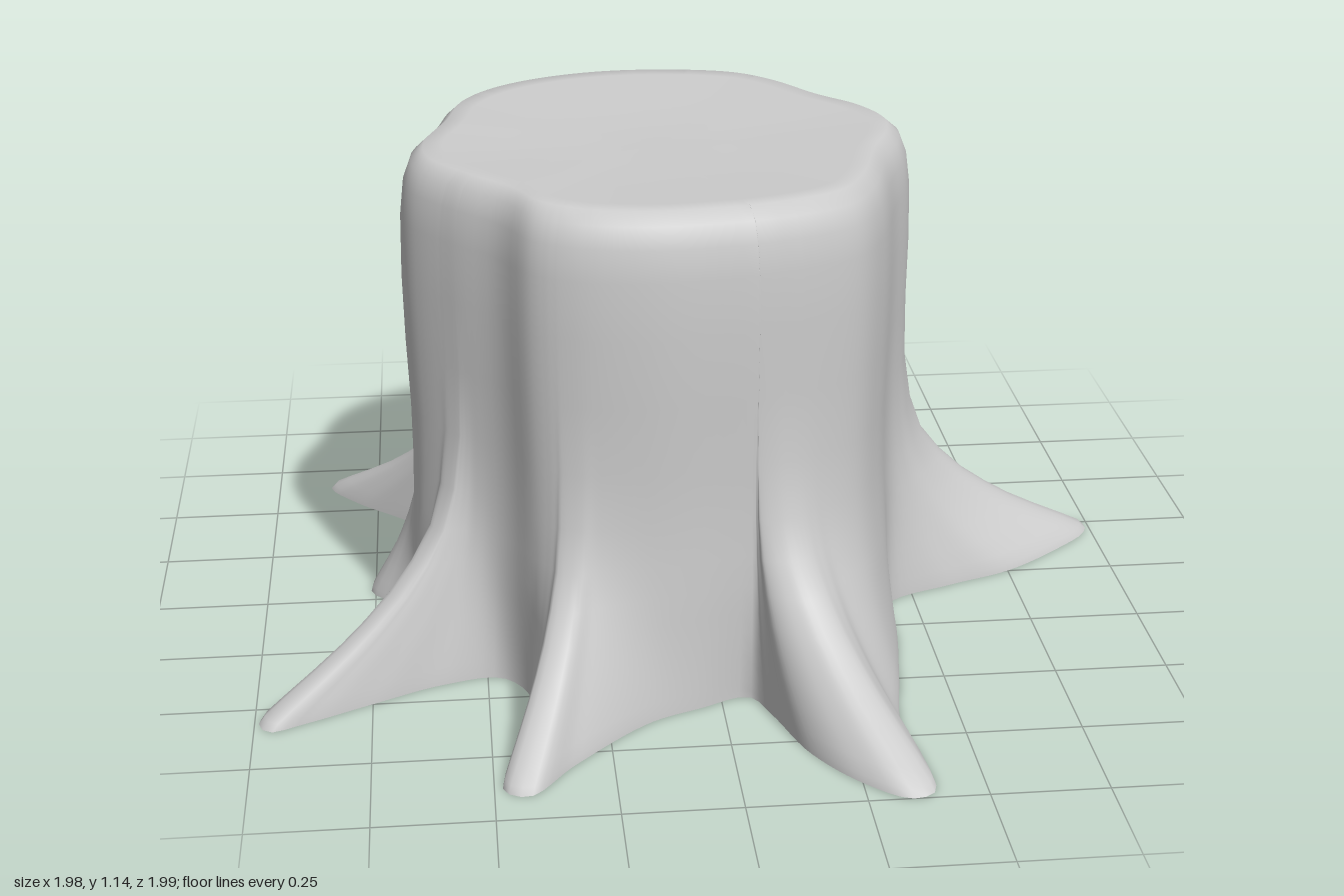
import * as THREE from 'three';

const CX = -0.09, CZ = 0.04; // trunk axis
const material = new THREE.MeshStandardMaterial({ color: 0xcccccc, roughness: 0.9 });

// Outline of the roots on the ground (x, z), counter-clockwise from above
const GROUND = [
  [0.99, -0.24], [0.85, -0.26], [0.62, -0.26], [0.45, -0.3], [0.33, -0.42],
  [0.29, -0.55], [0.35, -0.7], [0.41, -0.81], [0.37, -0.845], [0.25, -0.78], [0.1, -0.7], [0.04, -0.6], [-0.03, -0.57],
  [-0.1, -0.61], [-0.15, -0.77], [-0.19, -0.93], [-0.24, -1.0], [-0.27, -0.87], [-0.29, -0.73], [-0.35, -0.6], [-0.47, -0.565],
  [-0.6, -0.6], [-0.75, -0.645], [-0.85, -0.675], [-0.87, -0.64], [-0.8, -0.54], [-0.66, -0.4], [-0.6, -0.24],
  [-0.66, -0.17], [-0.74, -0.11], [-0.76, -0.04], [-0.71, 0.02], [-0.65, 0.09], [-0.65, 0.18],
  [-0.71, 0.27], [-0.85, 0.42], [-0.99, 0.55], [-0.97, 0.6], [-0.89, 0.57], [-0.75, 0.5], [-0.6, 0.43], [-0.47, 0.41],
  [-0.41, 0.5], [-0.42, 0.6], [-0.45, 0.75], [-0.48, 0.89], [-0.43, 0.915], [-0.33, 0.8], [-0.16, 0.64], [-0.05, 0.59], [0.06, 0.55],
  [0.1, 0.63], [0.16, 0.8], [0.25, 0.93], [0.34, 1.0], [0.39, 0.98], [0.39, 0.85], [0.37, 0.7], [0.4, 0.5], [0.43, 0.3], [0.44, 0.14],
  [0.6, 0.06], [0.75, 0.0], [0.9, -0.11], [0.98, -0.19],
];

// Outline of the trunk (x, z), same direction
const TRUNK = [
  [0.49, -0.1], [0.44, -0.21], [0.35, -0.3], [0.25, -0.43], [0.15, -0.5], [-0.1, -0.52], [-0.3, -0.47],
  [-0.46, -0.37], [-0.55, -0.25], [-0.59, -0.1], [-0.65, 0.09], [-0.64, 0.2], [-0.55, 0.32], [-0.45, 0.42],
  [-0.39, 0.52], [-0.3, 0.57], [-0.15, 0.59], [0, 0.57], [0.15, 0.53], [0.3, 0.45], [0.37, 0.33], [0.43, 0.13], [0.48, 0],
];

// Sections from the ground up: height, share of root spread, scale of trunk outline
const ROWS = [
  [0, 1, 1], [0.015, 0.97, 1], [0.04, 0.88, 1], [0.08, 0.73, 1], [0.12, 0.59, 1], [0.16, 0.47, 1], [0.21, 0.34, 1],
  [0.27, 0.22, 1], [0.34, 0.12, 0.995], [0.43, 0.06, 0.99], [0.55, 0.02, 0.99], [0.7, 0, 1], [0.85, 0, 1.005], [0.98, 0, 1],
  [1.05, 0, 0.985], [1.095, 0, 0.955], [1.12, 0, 0.905], [1.12, 0, 0.83], [1.112, 0, 0.6], [1.107, 0, 0.3], [1.105, 0, 0],
];

function polarOutline(points, count) {
  const curve = new THREE.CatmullRomCurve3(points.map(([x, z]) => new THREE.Vector3(x, 0, z)), true, 'centripetal');
  return curve.getSpacedPoints(count).slice(0, count).map((p) => ({
    angle: Math.atan2(CZ - p.z, p.x - CX),
    radius: Math.hypot(p.x - CX, p.z - CZ),
  }));
}

// Radius of a star-shaped outline in a given direction
function radiusAt(outline, angle) {
  const turn = (a) => Math.atan2(Math.sin(a), Math.cos(a));
  for (let i = 0; i < outline.length; i++) {
    const a = outline[i], b = outline[(i + 1) % outline.length];
    const span = turn(b.angle - a.angle), t = turn(angle - a.angle) / span;
    if (span > 0 && t >= 0 && t <= 1) return a.radius + (b.radius - a.radius) * t;
  }
  return outline[0].radius;
}

export function createModel() {
  const group = new THREE.Group();
  group.name = 'treeStump';

  const n = 320;
  const ground = polarOutline(GROUND, n);
  const trunk = polarOutline(TRUNK, 160);
  const trunkRadius = ground.map((g) => radiusAt(trunk, g.angle));

  // Trunk, flaring roots and cut top as one lofted skin
  const positions = [], indices = [];
  ROWS.forEach(([y, spread, scale], row) => {
    const tilt = THREE.MathUtils.smoothstep(y, 0.8, 1.1);
    ground.forEach((g, j) => {
      const base = trunkRadius[j] * scale;
      const r = base + (g.radius - trunkRadius[j]) * spread;
      const dx = r * Math.cos(g.angle), dz = -r * Math.sin(g.angle);
      positions.push(CX + dx, y + tilt * (-0.026 * dx - 0.018 * dz), CZ + dz);
      if (row === ROWS.length - 1) return;
      const k = (j + 1) % n;
      const a = row * n + j, b = row * n + k, c = a + n, d = b + n;
      indices.push(a, b, c);
      if (row < ROWS.length - 2) indices.push(b, d, c);
    });
  });
  const skin = new THREE.BufferGeometry();
  skin.setAttribute('position', new THREE.Float32BufferAttribute(positions, 3));
  skin.setIndex(indices);
  skin.computeVertexNormals();
  // The cut face closes in a point facing up
  for (let j = 0; j < n; j++) skin.attributes.normal.setXYZ((ROWS.length - 1) * n + j, 0, 1, 0);
  const stump = new THREE.Mesh(skin, material);
  stump.name = 'trunkAndRoots';
  group.add(stump);

  // Flat underside
  const outline = ground.map((g) => new THREE.Vector2(CX + g.radius * Math.cos(g.angle), CZ - g.radius * Math.sin(g.angle)));
  const underside = new THREE.Mesh(new THREE.ShapeGeometry(new THREE.Shape(outline)).rotateX(Math.PI / 2), material);
  underside.name = 'underside';
  group.add(underside);

  return group;
}
